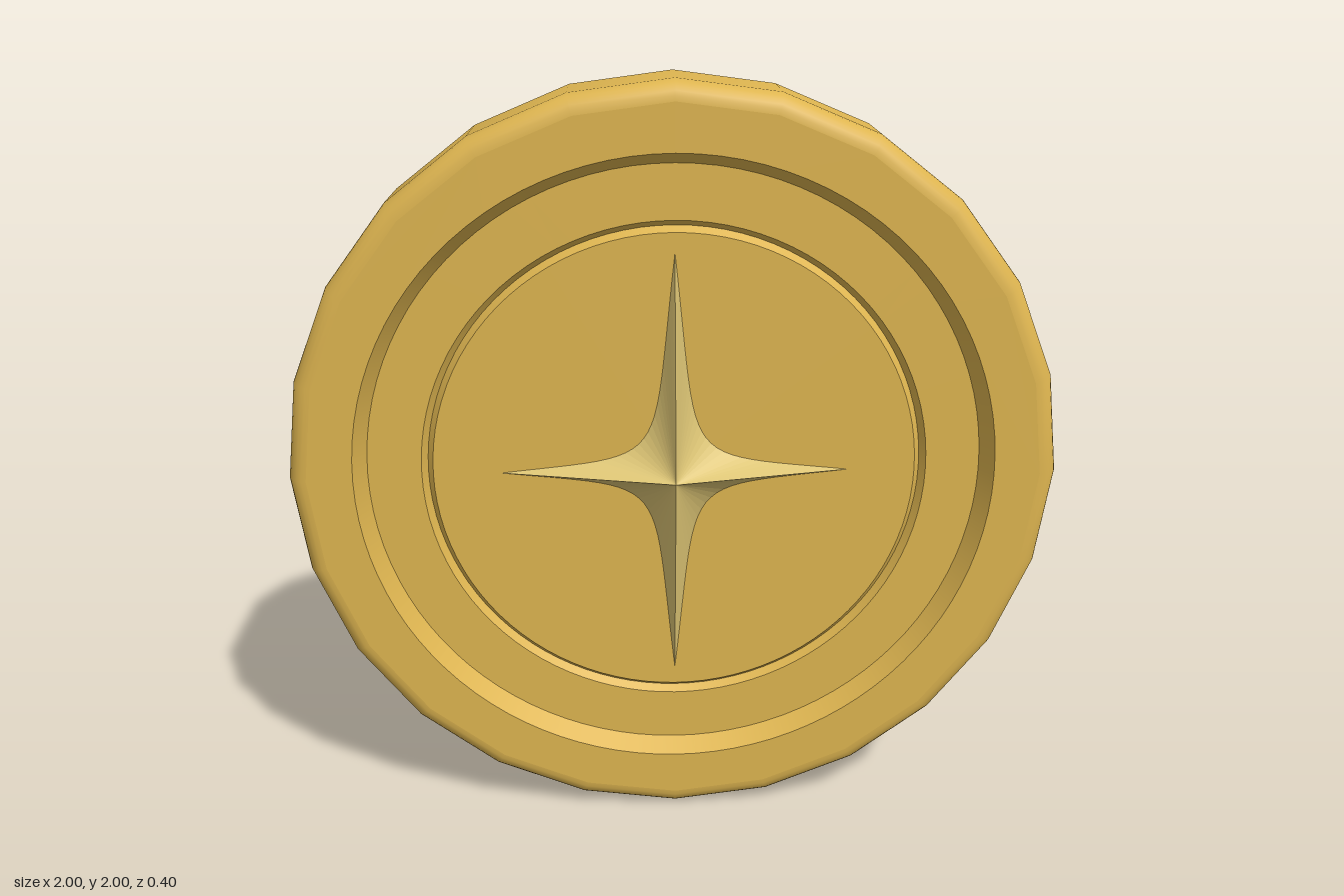
import * as THREE from 'three';

const gold = new THREE.MeshStandardMaterial({ color: 0xdeb550 });
gold.name = 'gold';
const paleGold = new THREE.MeshStandardMaterial({ color: 0xdcc474 });
paleGold.name = 'paleGold';

const HALF = 0.15, FLOOR = 0.1, BEVEL = 0.05, SIDES = 24;

function named(name, geometry, material = gold) {
  const mesh = new THREE.Mesh(geometry, material);
  mesh.name = name;
  return mesh;
}

// Surface of revolution about z from [radius, z] pairs
function turned(points, segments) {
  return new THREE.LatheGeometry(points.map(p => new THREE.Vector2(...p)), segments).rotateX(Math.PI / 2);
}

// Rounded outer edge of the coin
function rimGeometry() {
  const points = [];
  for (const side of [-1, 1]) {
    for (let i = 0; i <= 6; i++) {
      const a = (side < 0 ? i - 6 : i) / 6 * Math.PI / 2;
      points.push([1 - BEVEL + BEVEL * Math.cos(a), side * (HALF - BEVEL) + BEVEL * Math.sin(a)]);
    }
  }
  return turned(points, SIDES);
}

// Flat raised border: many-sided outside, round hole inside
function borderGeometry() {
  const outline = [];
  for (let i = 0; i < SIDES; i++) {
    const a = i / SIDES * Math.PI * 2;
    outline.push(new THREE.Vector2(Math.cos(a), Math.sin(a)).multiplyScalar(1 - BEVEL));
  }
  const shape = new THREE.Shape(outline);
  shape.holes.push(new THREE.Path().absarc(0, 0, 0.83, 0, Math.PI * 2, true));
  return new THREE.ShapeGeometry(shape, 48).translate(0, 0, HALF);
}

// Four-pointed star: concave edges fanned up to a central peak
function starGeometry() {
  const edge = new THREE.CubicBezierCurve(
    new THREE.Vector2(0.455, 0), new THREE.Vector2(0, 0.05),
    new THREE.Vector2(0.065, 0), new THREE.Vector2(0, 0.58)).getPoints(24);
  const positions = [];
  for (const sx of [1, -1]) for (const sy of [1, -1]) {
    for (let i = 0; i < edge.length - 1; i++) {
      const pair = sx * sy > 0 ? [edge[i], edge[i + 1]] : [edge[i + 1], edge[i]];
      positions.push(0, 0, 0.2);
      for (const p of pair) positions.push(p.x * sx, p.y * sy, FLOOR);
    }
  }
  const geometry = new THREE.BufferGeometry();
  geometry.setAttribute('position', new THREE.Float32BufferAttribute(positions, 3));
  geometry.computeVertexNormals();
  return geometry;
}

// One decorated side of the coin
function createFace(name) {
  const face = new THREE.Group();
  face.name = name;
  face.add(named('border', borderGeometry()));
  const steps = [
    ['recessWall', [0.83, HALF], [0.8, FLOOR]],
    ['recessFloor', [0.8, FLOOR], [0.66, FLOOR]],
    ['grooveOuterWall', [0.66, FLOOR], [0.645, FLOOR - 0.02]],
    ['grooveInnerWall', [0.645, FLOOR - 0.02], [0.63, FLOOR]],
    ['centreDisc', [0.63, FLOOR], [0, FLOOR]],
  ];
  for (const [part, a, b] of steps) face.add(named(part, turned([a, b], 96)));
  face.add(named('star', starGeometry(), paleGold));
  return face;
}

export function createModel() {
  const coin = new THREE.Group();
  coin.name = 'coin';
  const back = createFace('backFace');
  back.rotation.y = Math.PI;
  coin.add(named('rim', rimGeometry()), createFace('frontFace'), back);
  coin.children.forEach(part => { part.position.y = 1; });
  return coin;
}
